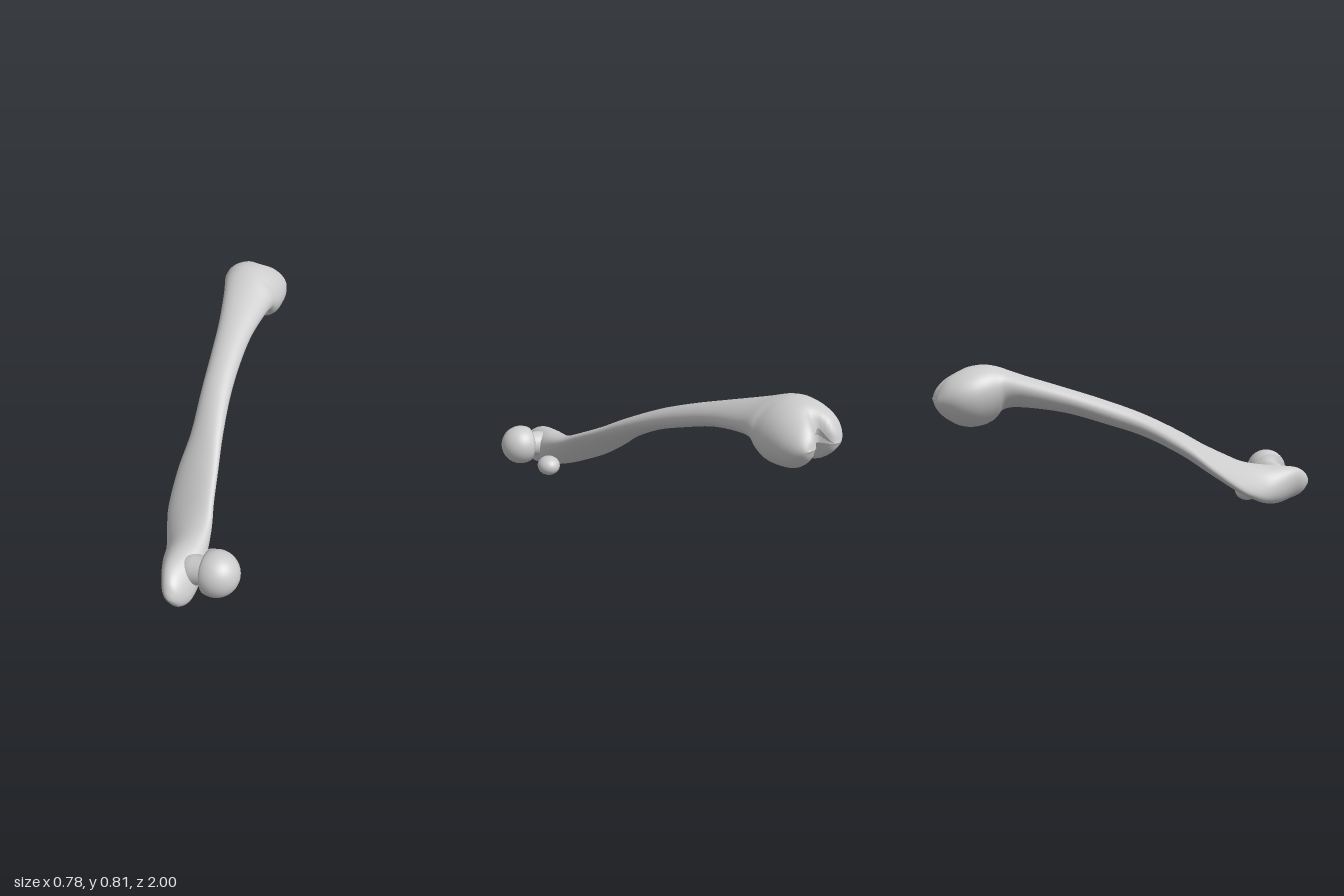
import * as THREE from 'three';

const material = new THREE.MeshStandardMaterial({ color: 0xcccccc });

// Bone stations from knee to hip: z, x min, x max, y min, y max, skew of the oval
const STATIONS = [
  [-1.00, -0.30, -0.13, 0.660, 0.662, -0.1],
  [-0.985, -0.33, -0.105, 0.61, 0.715, -0.1],
  [-0.95, -0.362, -0.08, 0.57, 0.76, -0.15],
  [-0.90, -0.386, -0.062, 0.54, 0.79, -0.15],
  [-0.84, -0.392, -0.053, 0.527, 0.81, -0.15],
  [-0.78, -0.38, -0.05, 0.532, 0.817, -0.2],
  [-0.73, -0.36, -0.055, 0.56, 0.81, -0.25],
  [-0.69, -0.343, -0.058, 0.605, 0.797, -0.3],
  [-0.60, -0.31, -0.065, 0.61, 0.763, -0.3],
  [-0.40, -0.25, -0.065, 0.575, 0.695, -0.2],
  [-0.20, -0.205, -0.045, 0.51, 0.625, -0.1],
  [0.00, -0.165, -0.01, 0.435, 0.545, 0],
  [0.20, -0.13, 0.04, 0.328, 0.445, 0.3],
  [0.35, -0.13, 0.085, 0.225, 0.36, 0.6],
  [0.50, -0.108, 0.13, 0.125, 0.285, 0.75],
  [0.60, -0.067, 0.165, 0.07, 0.24, 0.65],
  [0.70, -0.02, 0.19, 0.025, 0.217, 0.4],
  [0.80, 0.015, 0.207, 0.004, 0.207, 0],
  [0.90, 0.06, 0.207, 0.012, 0.195, -0.4],
  [0.96, 0.09, 0.19, 0.035, 0.167, -0.4],
  [0.99, 0.115, 0.165, 0.075, 0.13, -0.4],
  [1.00, 0.139, 0.141, 0.101, 0.103, -0.4],
];

// Skin of skewed ovals lofted smoothly through the stations
function boneGeometry(rows, sides) {
  const curve = (pick) => new THREE.CatmullRomCurve3(
    STATIONS.map((s) => new THREE.Vector3(...pick.map((k) => s[k]))), false, 'catmullrom');
  const across = curve([0, 1, 2]);
  const height = curve([3, 4, 5]);
  const { smoothstep } = THREE.MathUtils;
  const positions = [];
  const index = [];
  for (let i = 0; i <= rows; i++) {
    const { x: z, y: x0, z: x1 } = across.getPoint(i / rows);
    const { x: y0, y: y1, z: skew } = height.getPoint(i / rows);
    for (let j = 0; j < sides; j++) {
      const a = (j / sides) * Math.PI * 2;
      const x = (x0 + x1) / 2 + ((x1 - x0) / 2) * Math.cos(a);
      const s = Math.sin(a + skew);
      // Notch that parts the knee end into two condyles, below and behind
      const notch = Math.exp(-(((x + 0.222) / 0.035) ** 2));
      const under = 0.07 * notch * Math.max(0, -s) * smoothstep(-z, 0.7, 0.84);
      const behind = 0.055 * notch * smoothstep(-z, 0.84, 1);
      positions.push(x, (y0 + y1) / 2 + ((y1 - y0) / 2) * s + under, z + behind);
      if (i === rows) continue;
      const p = i * sides + j;
      const q = i * sides + ((j + 1) % sides);
      index.push(p, q, q + sides, p, q + sides, p + sides);
    }
  }
  const geometry = new THREE.BufferGeometry();
  geometry.setAttribute('position', new THREE.Float32BufferAttribute(positions, 3));
  geometry.setIndex(index);
  geometry.computeVertexNormals();
  return geometry;
}

export function createModel() {
  const group = new THREE.Group();
  group.name = 'thighBone';

  const add = (name, geometry, x = 0, y = 0, z = 0) => {
    const mesh = new THREE.Mesh(geometry, material);
    mesh.name = name;
    mesh.position.set(x, y, z);
    group.add(mesh);
    return mesh;
  };

  // Shaft with the two-lobed knee end and the large knob beside the hip
  add('shaftAndCondyles', boneGeometry(126, 64));

  // Small bump below the neck
  add('lesserTrochanter', new THREE.SphereGeometry(1, 32, 24), 0.195, 0.061, 0.668)
    .scale.set(0.06, 0.052, 0.065);

  // Waisted neck carrying the ball of the hip joint
  const R = 0.105;
  const profile = [[0, -0.2], [0.045, -0.185], [0.066, -0.14], [0.069, -0.1], [0.063, -0.06], [0.068, -0.045]]
    .map(([r, h]) => new THREE.Vector2(r, h));
  for (let i = 0; i <= 18; i++) {
    const a = THREE.MathUtils.lerp(-0.4, Math.PI / 2, i / 18);
    profile.push(new THREE.Vector2(Math.max(0, R * Math.cos(a)), R * Math.sin(a)));
  }
  add('headAndNeck', new THREE.LatheGeometry(profile, 40), 0.286, 0.155, 0.818)
    .quaternion.setFromUnitVectors(
      new THREE.Vector3(0, 1, 0), new THREE.Vector3(0.985, 0.17, 0).normalize());

  return group;
}
